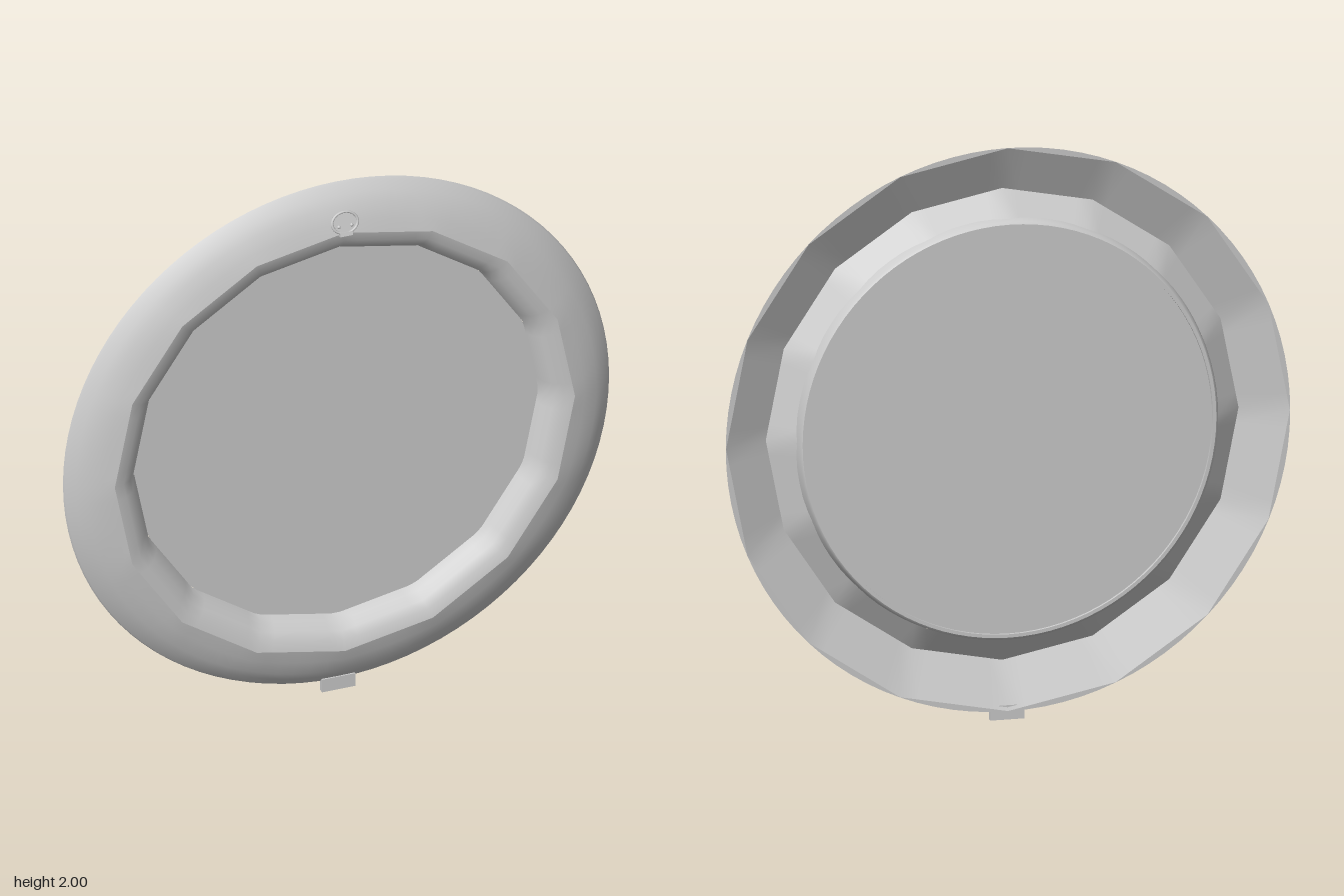
import * as THREE from 'three';
import { mergeVertices } from 'three/addons/utils/BufferGeometryUtils.js';

const SIDES = 16;
const CENTRE_Y = 1.015;

export function createModel() {
  const model = new THREE.Group();
  const grey = new THREE.MeshStandardMaterial({ color: 0xcccccc });
  grey.name = 'light grey';

  const add = (parent, name, geometry, x = 0, y = 0, z = 0) => {
    const mesh = new THREE.Mesh(geometry, grey);
    mesh.name = name;
    mesh.position.set(x, y, z);
    parent.add(mesh);
    return mesh;
  };

  // Ring from [radius, z, facet] points: facet 1 gives a 16-sided outline, 0 a round one
  const ring = (profile) => {
    const geo = new THREE.LatheGeometry(profile.map(([r, z]) => new THREE.Vector2(r, z)), 96);
    const pos = geo.attributes.position;
    const step = (2 * Math.PI) / SIDES;
    for (let i = 0; i < pos.count; i++) {
      const facet = profile[i % profile.length][2];
      const angle = Math.atan2(pos.getX(i), pos.getZ(i)) + 2 * Math.PI + 1e-6;
      const flat = Math.cos(step / 2) / Math.cos((angle % step) - step / 2);
      const k = 1 + (flat - 1) * facet;
      pos.setX(i, pos.getX(i) * k);
      pos.setZ(i, pos.getZ(i) * k);
    }
    geo.deleteAttribute('uv');
    geo.deleteAttribute('normal');
    const merged = mergeVertices(geo, 1e-5);
    merged.rotateX(Math.PI / 2);
    merged.computeVertexNormals();
    return merged;
  };

  // Frame shell: convex front, inner lip and hollow back
  const frame = new THREE.Group();
  frame.name = 'frame';
  frame.position.y = CENTRE_Y;
  model.add(frame);
  add(frame, 'frameFront', ring([
    [0.985, -0.04, 0], [0.98, -0.03, 0], [0.95, -0.008, 0], [0.918, 0.014, 0],
    [0.87, 0.033, 0.4], [0.83, 0.045, 1],
  ]));
  add(frame, 'innerLip', ring([
    [0.83, 0.045, 1], [0.795, 0.037, 1], [0.765, 0.018, 1], [0.742, -0.012, 1], [0.73, -0.046, 1],
  ]));
  add(frame, 'lipBack', ring([[0.735, -0.03, 1], [0.825, 0.037, 1]]));
  add(frame, 'frameBack', ring([[0.825, 0.037, 1], [0.985, -0.04, 1]]));
  add(frame, 'rimEdge', ring([[0.984, -0.04, 1], [0.985, -0.04, 0]]));

  // Raised retaining ring behind the panel
  add(frame, 'backRingEdge', ring([[0.722, -0.06, 0], [0.73, -0.054, 0], [0.736, -0.02, 0]]));
  add(frame, 'backRingFace', ring([[0.71, -0.06, 0], [0.722, -0.06, 0]]));
  add(frame, 'backRingInside', ring([[0.71, -0.045, 0], [0.71, -0.06, 0]]));

  // Round panel
  const panel = new THREE.CylinderGeometry(0.728, 0.728, 0.006, 96);
  panel.rotateX(Math.PI / 2);
  add(frame, 'panel', panel, 0, 0, -0.046);

  // Small badge at the top with a stem and two studs
  const badge = new THREE.Group();
  badge.name = 'badge';
  badge.position.set(0, 1.885, 0.041);
  badge.rotation.x = -0.3;
  model.add(badge);
  const plate = new THREE.CylinderGeometry(0.046, 0.046, 0.008, 32);
  plate.rotateX(Math.PI / 2);
  plate.scale(1, 0.8, 1);
  add(badge, 'badgePlate', plate);
  const rim = new THREE.TorusGeometry(0.046, 0.005, 8, 32);
  rim.scale(1, 0.82, 1);
  add(badge, 'badgeRim', rim, 0, 0, 0.004);
  add(badge, 'badgeStem', new THREE.BoxGeometry(0.045, 0.014, 0.014), 0, -0.04, 0.002);
  for (const side of [-1, 1]) {
    add(badge, 'badgeStud', new THREE.SphereGeometry(0.006, 12, 8), side * 0.023, -0.012, 0.004);
  }

  // Foot tab under the frame
  add(model, 'footTab', new THREE.BoxGeometry(0.12, 0.05, 0.02), 0, 0.025, -0.024);

  return model;
}
